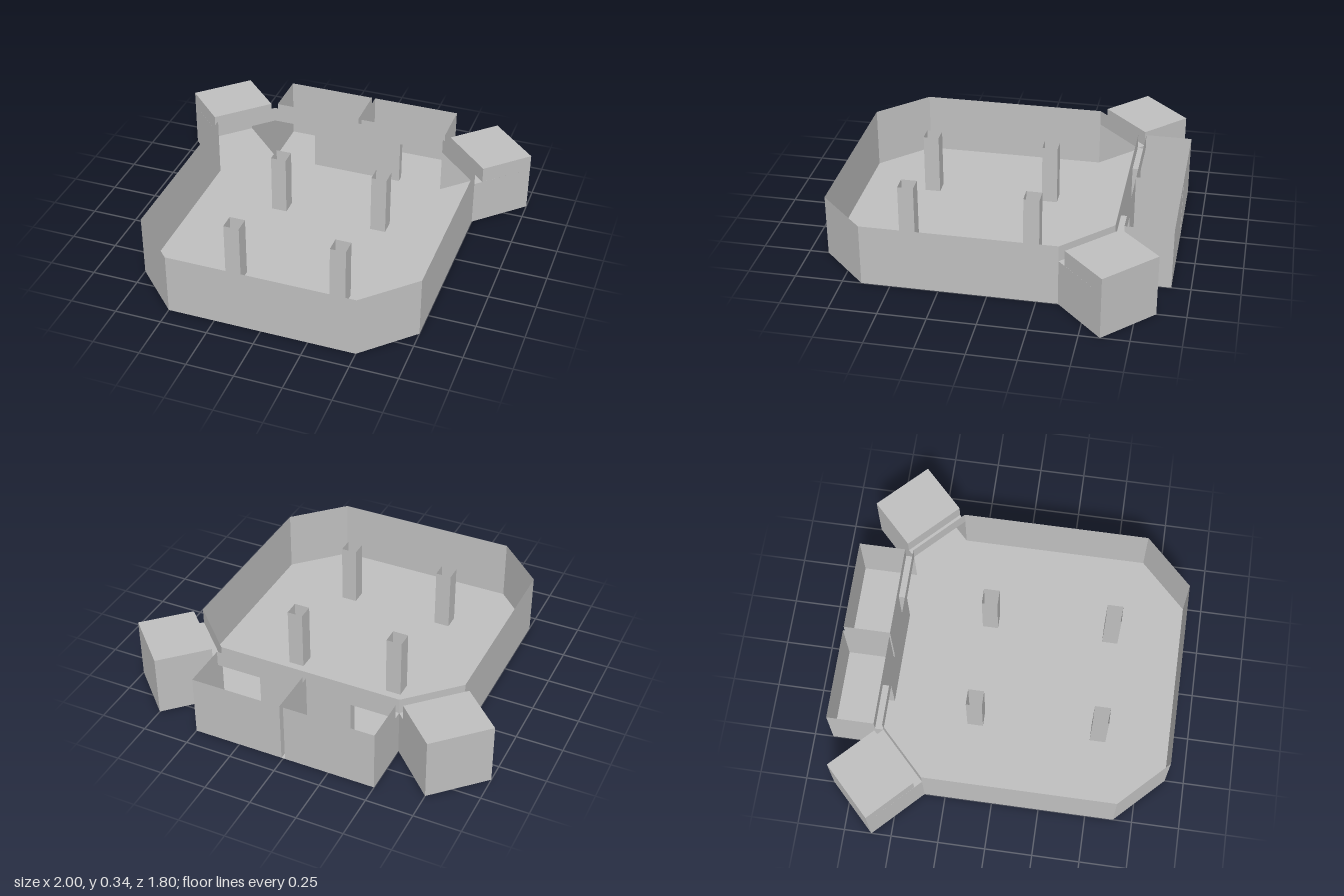
import * as THREE from 'three';

const H = 0.335;     // rim height
const S = 0.25;      // height of the slot floors
const POST = 0.0425; // half width of a post

const grey = new THREE.MeshStandardMaterial({ color: 0xbfbfbf, side: THREE.DoubleSide });
grey.name = 'plain grey';

// Outline of the +x half, front to back, as [x, z]
const half = [[0.5, 0.9], [0.75, 0.65], [0.75, -0.36], [1, -0.605], [0.75, -0.85], [0.5, -0.605], [0.5, -0.9]];

const mirror = (pts) => pts.map(([x, z]) => [-x, z]);

function addMesh(group, name, geometry) {
  const mesh = new THREE.Mesh(geometry, grey);
  mesh.name = name;
  group.add(mesh);
}

// Upright sheet following a plan path between two heights
function addWall(group, name, path, y0 = 0, y1 = H) {
  const pos = [];
  for (let i = 0; i < path.length - 1; i++) {
    const [[ax, az], [bx, bz]] = [path[i], path[i + 1]];
    pos.push(ax, y0, az, bx, y0, bz, bx, y1, bz, ax, y0, az, bx, y1, bz, ax, y1, az);
  }
  const g = new THREE.BufferGeometry();
  g.setAttribute('position', new THREE.Float32BufferAttribute(pos, 3));
  g.computeVertexNormals();
  addMesh(group, name, g);
}

// Level sheet with an optional set of holes
function addPlate(group, name, pts, y, holes = []) {
  const toVec = (list) => list.map(([x, z]) => new THREE.Vector2(x, -z));
  const shape = new THREE.Shape(toVec(pts));
  holes.forEach((h) => shape.holes.push(new THREE.Path(toVec(h))));
  const g = new THREE.ShapeGeometry(shape);
  g.rotateX(-Math.PI / 2);
  g.translate(0, y, 0);
  addMesh(group, name, g);
}

export function createModel() {
  const model = new THREE.Group();
  model.name = 'tray';

  // Floor pierced below each hollow post
  const posts = [];
  for (const x of [-0.2875, 0.2875]) {
    for (const z of [-0.15, 0.518]) {
      posts.push([[x - POST, z - POST], [x + POST, z - POST], [x + POST, z + POST], [x - POST, z + POST]]);
    }
  }
  addPlate(model, 'floor', [...half, ...mirror(half).reverse()], 0, posts);
  posts.forEach((p) => addWall(model, 'post', [...p, p[0]]));

  // Walls on the centre line
  addWall(model, 'frontWall', [[-0.5, 0.9], [0.5, 0.9]]);
  addWall(model, 'rearInnerRail', [[-0.5, -0.605], [0.5, -0.605]], S, H);
  addWall(model, 'centreWall', [[-0.255, -0.605], [0.255, -0.605]], 0, S);

  for (const side of [1, -1]) {
    const g = new THREE.Group();
    g.name = side > 0 ? 'leftSide' : 'rightSide';
    const m = (pts) => (side > 0 ? pts : mirror(pts));
    const wall = (name, pts, y0, y1) => addWall(g, name, m(pts), y0, y1);
    const plate = (name, pts, y) => addPlate(g, name, m(pts), y);

    wall('sideWall', half.slice(0, 3));

    // Angled corner box, open to the tray below its slot
    const a = [0.75, -0.36], b = [0.5, -0.605];       // tray edge of the slot
    const c = [0.785, -0.395], d = [0.535, -0.64];    // box edge of the slot
    const outer = [1, -0.605], back = [0.75, -0.85];
    wall('cornerBoxLower', [a, outer, back, b], 0, S);
    wall('cornerBoxUpper', [c, outer, back, d, c], S, H);
    plate('cornerBoxLid', [c, outer, back, d], H);
    plate('cornerSlotFloor', [a, c, d, b], S);
    wall('cornerRail', [a, b], S, H);

    // Rear compartment, with a slot in front and a narrow gap at the middle
    wall('rearSideLower', [[0.5, -0.605], [0.5, -0.65]], 0, S);
    wall('rearCompartment', [[0.5, -0.65], [0.5, -0.9], [0.01, -0.9], [0.01, -0.65], [0.255, -0.65]]);
    wall('rearSlotBack', [[0.255, -0.65], [0.5, -0.65]], S, H);
    wall('rearSlotEnd', [[0.255, -0.65], [0.255, -0.605]], 0, S);
    plate('rearSlotFloor', [[0.255, -0.605], [0.5, -0.605], [0.5, -0.65], [0.255, -0.65]], S);
    model.add(g);
  }
  return model;
}
